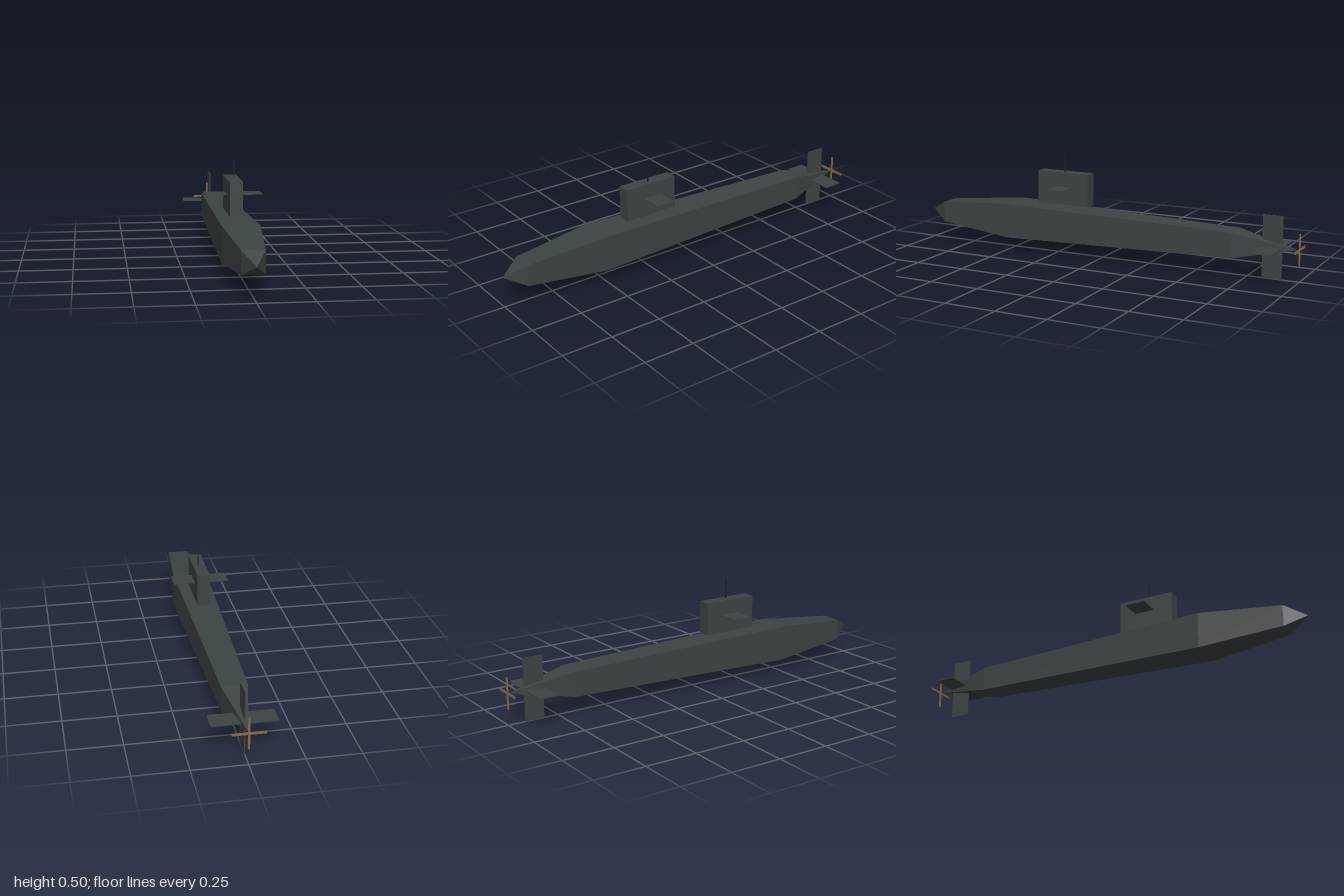
import * as THREE from 'three';

const AXIS_Y = 0.15; // height of the hull centreline

export function createModel() {
  const model = new THREE.Group();
  model.name = 'submarine';

  const material = (name, color) => {
    const m = new THREE.MeshStandardMaterial({ color });
    m.name = name;
    return m;
  };
  const hullGrey = material('hullGrey', 0x3c4443);
  const bronze = material('propellerBronze', 0x8a6a42);
  const black = material('mastBlack', 0x1c1e1e);

  const add = (name, geometry, mat, x, y, z, parent = model) => {
    const mesh = new THREE.Mesh(geometry, mat);
    mesh.name = name;
    mesh.position.set(x, y, z);
    parent.add(mesh);
    return mesh;
  };
  const box = (name, w, h, d, mat, x, y, z, parent) =>
    add(name, new THREE.BoxGeometry(w, h, d), mat, x, y, z, parent);

  // Square-section hull: [z, half width] from stern to bow, spun with four sides
  const stations = [[-0.99, 0], [-0.69, 0.06], [0.5, 0.087], [0.9, 0.052], [1, 0]];
  const profile = stations.map(([z, half]) => new THREE.Vector2(half * Math.SQRT2, z));
  const hull = new THREE.LatheGeometry(profile, 4, Math.PI / 4).rotateX(Math.PI / 2).toNonIndexed();
  hull.computeVertexNormals(); // flat facets
  add('hull', hull, hullGrey, 0, AXIS_Y, 0);

  // Conning tower with diving planes and mast
  box('sail', 0.062, 0.16, 0.275, hullGrey, 0, 0.33, 0.208);
  box('sailPlanes', 0.272, 0.004, 0.098, hullGrey, 0, 0.338, 0.2);
  box('mast', 0.005, 0.09, 0.005, black, 0.005, 0.455, 0.208);

  // Cruciform tail fins
  box('rudder', 0.005, 0.3, 0.096, hullGrey, 0, AXIS_Y, -0.868);
  box('sternPlanes', 0.298, 0.005, 0.096, hullGrey, 0, AXIS_Y, -0.868);

  // Propeller made of two crossed blade pairs
  const propeller = new THREE.Group();
  propeller.name = 'propeller';
  propeller.position.set(0, AXIS_Y, -0.9975);
  model.add(propeller);
  for (let i = 0; i < 2; i++) {
    const blade = box('bladePair', 0.15, 0.01, 0.005, bronze, 0, 0, 0, propeller);
    blade.rotation.z = i * Math.PI / 2;
  }

  return model;
}
